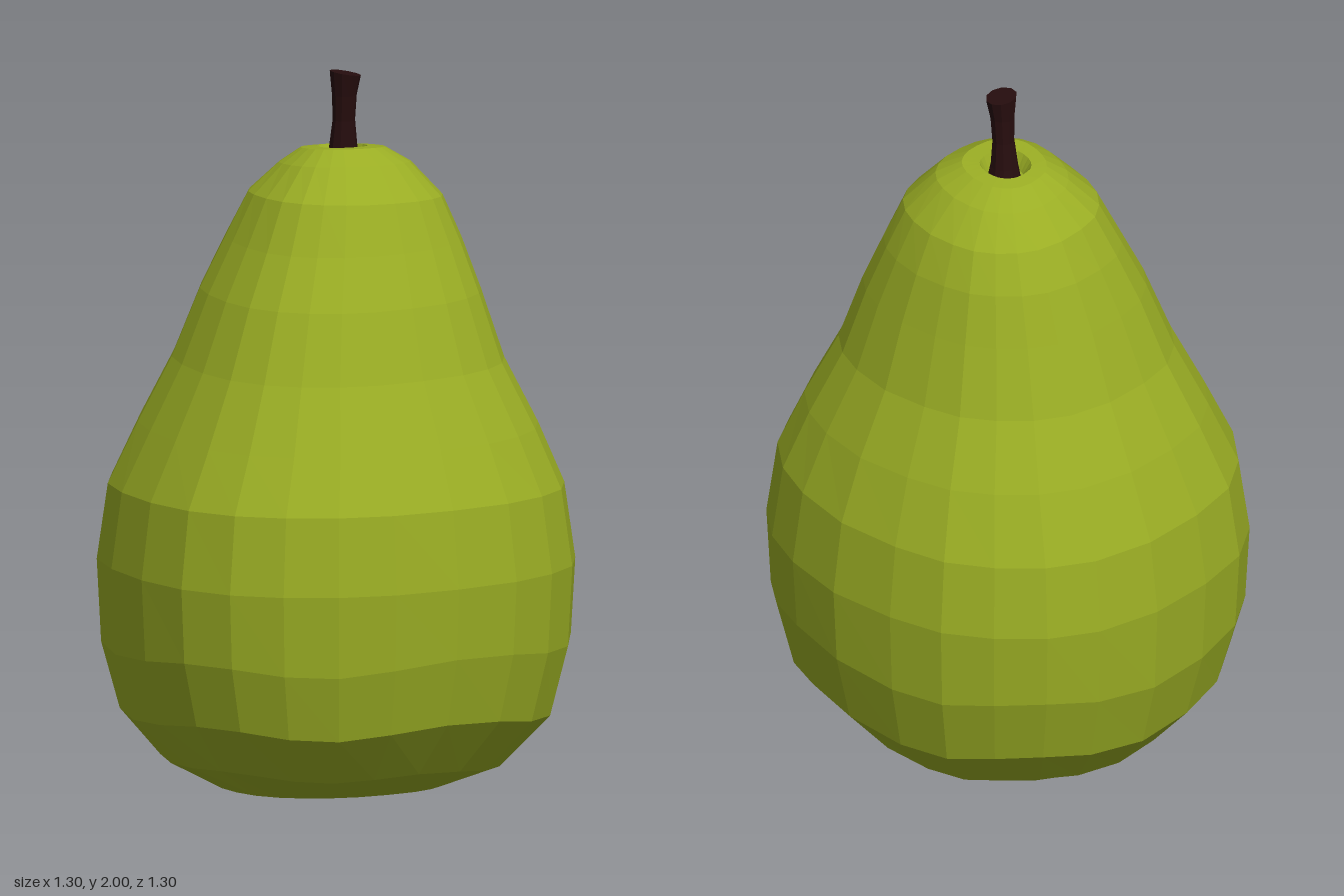
import * as THREE from 'three';

// Slightly lobed outline of the fruit, running around the vertical axis
const OUTLINE = [
  [-0.07, -0.65], [0.08, -0.65], [0.22, -0.61], [0.35, -0.54], [0.46, -0.42], [0.57, -0.25],
  [0.63, -0.06], [0.645, 0.09], [0.62, 0.23], [0.55, 0.35], [0.44, 0.46], [0.27, 0.56],
  [0.09, 0.63], [-0.07, 0.65], [-0.22, 0.63], [-0.36, 0.57], [-0.48, 0.46], [-0.57, 0.3],
  [-0.63, 0.11], [-0.65, -0.06], [-0.62, -0.22], [-0.55, -0.36], [-0.42, -0.48], [-0.25, -0.59],
].map(([x, z]) => [x / 0.65, z / 0.65]);

const STEM_OUTLINE = Array.from({ length: 10 }, (_, i) => {
  const a = (i / 10) * Math.PI * 2;
  return [Math.cos(a), Math.sin(a)];
});

// Joins scaled copies of an outline; ring = [y, radius, centreX, centreZ, slopeX, slopeZ, wave]
function loft(outline, rings) {
  const n = outline.length;
  const points = [];
  const index = [];
  rings.forEach(([y, r, cx = 0, cz = 0, sx = 0, sz = 0, wave = 0], i) => {
    outline.forEach(([ox, oz], j) => {
      const lift = wave * Math.sin((j / n) * Math.PI * 10);
      points.push(cx + ox * r, y + ox * r * sx + oz * r * sz + lift, cz + oz * r);
      if (i === rings.length - 1) return;
      const k = (j + 1) % n;
      const a = i * n + j, b = i * n + k, c = a + n, d = b + n;
      if (r > 0) index.push(a, d, b);
      if (rings[i + 1][1] > 0) index.push(a, c, d);
    });
  });
  const geometry = new THREE.BufferGeometry();
  geometry.setAttribute('position', new THREE.Float32BufferAttribute(points, 3));
  geometry.setIndex(index);
  const flat = geometry.toNonIndexed();
  flat.computeVertexNormals();
  return flat;
}

export function createModel() {
  const skin = new THREE.MeshStandardMaterial({ color: 0x9aad24 });
  skin.name = 'green skin';
  const bark = new THREE.MeshStandardMaterial({ color: 0x260d0e });
  bark.name = 'dark stem';

  const pear = new THREE.Group();
  pear.name = 'pear';

  // Body, from the hollow underneath up to the dip around the stem
  const body = new THREE.Mesh(loft(OUTLINE, [
    [0.14, 0],
    [0.13, 0.06],
    [0.05, 0.16, 0, 0, 0, 0.05],
    [0.022, 0.21, 0, 0, 0, 0.06],
    [0.02, 0.31, -0.02, 0, 0, 0.06],
    [0.10, 0.465, -0.015, 0.01, -0.02, 0.04, 0.008],
    [0.24, 0.59, 0, 0.005, 0, 0.04, 0.014],
    [0.43, 0.64, 0, 0, 0.01, 0.03, 0.014],
    [0.65, 0.652, 0, 0, 0, 0.02],
    [0.86, 0.622, 0, 0, 0, 0.03],
    [1.03, 0.545, 0.005, 0],
    [1.21, 0.453, 0.005, 0],
    [1.40, 0.383, 0.012, -0.005],
    [1.54, 0.322, 0.022, -0.02],
    [1.66, 0.265, 0.028, -0.025, -0.02, 0.05],
    [1.745, 0.18, 0.027, -0.03, 0, 0.1],
    [1.785, 0.115, 0.022, -0.035, 0, 0.12],
    [1.787, 0.07, 0.02, -0.04, 0, 0.1],
    [1.75, 0.05, 0.022, -0.04],
    [1.74, 0, 0.022, -0.04],
  ]), skin);
  body.name = 'body';

  // Stem, pinched in the middle with a slanted cut top
  const stem = new THREE.Mesh(loft(STEM_OUTLINE, [
    [1.74, 0, 0.025, -0.042],
    [1.74, 0.048, 0.025, -0.042],
    [1.785, 0.039, 0.024, -0.04],
    [1.86, 0.031, 0.025, -0.035],
    [1.93, 0.034, 0.026, -0.03],
    [1.992, 0.043, 0.028, -0.026, -0.17, 0.04],
    [1.992, 0, 0.028, -0.026],
  ]), bark);
  stem.name = 'stem';

  pear.add(body, stem);
  return pear;
}
